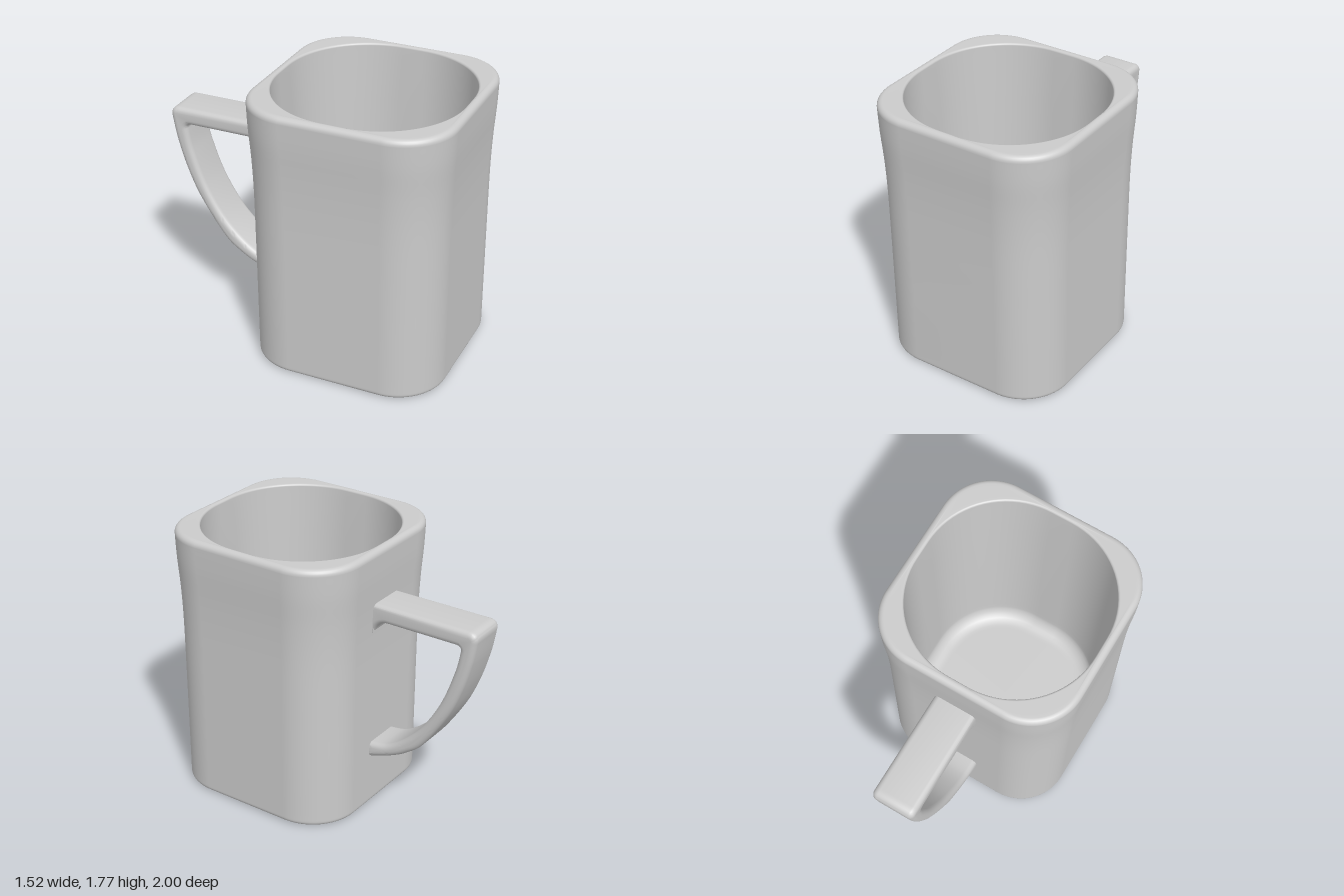
import * as THREE from 'three';
import { toCreasedNormals } from 'three/addons/utils/BufferGeometryUtils.js';

const material = new THREE.MeshStandardMaterial({ color: 0xcccccc, side: THREE.DoubleSide });

// Outline of a rounded square with half side w and corner radius r
function roundedSquare(w, r, steps = 20) {
  const points = [];
  for (let corner = 0; corner < 4; corner++) {
    const mid = (corner + 0.5) * Math.PI / 2;
    const cx = Math.sign(Math.cos(mid)) * (w - r), cz = Math.sign(Math.sin(mid)) * (w - r);
    for (let i = 0; i <= steps; i++) {
      const a = (corner + i / steps) * Math.PI / 2;
      points.push([cx + r * Math.cos(a), cz + r * Math.sin(a)]);
    }
  }
  return points;
}

// Skin through rows of [half side, corner radius, height]
function loft(rows) {
  const position = [], index = [];
  let n = 0;
  rows.forEach(([w, r, y], i) => {
    const ring = roundedSquare(w, r);
    n = ring.length;
    ring.forEach(([x, z], j) => {
      position.push(x, y, z);
      if (i === rows.length - 1) return;
      const a = i * n + j, b = i * n + (j + 1) % n;
      index.push(a, a + n, b, b, a + n, b + n);
    });
  });
  const geometry = new THREE.BufferGeometry();
  geometry.setAttribute('position', new THREE.Float32BufferAttribute(position, 3));
  geometry.setIndex(index);
  geometry.computeVertexNormals();
  return geometry;
}

function createBody() {
  const rows = [[0, 0, 0], [0.57, 0.27, 0], [0.585, 0.28, 0]];
  const fillet = (w, r, y, radius, from, to) => {
    for (let i = 0; i <= 6; i++) {
      const a = THREE.MathUtils.lerp(from, to, i / 6);
      const dw = radius * Math.cos(a);
      rows.push([w + dw, r + dw, y + radius * Math.sin(a)]);
    }
  };
  const H = Math.PI / 2;
  // Base edge, then the wall with its flared top
  fillet(0.592, 0.29, 0.03, 0.03, -H, 0);
  const wall = new THREE.SplineCurve([
    [0.622, 0.04], [0.623, 0.4], [0.624, 0.8], [0.626, 1.15], [0.633, 1.38], [0.645, 1.58], [0.65, 1.73],
  ].map(([w, y]) => new THREE.Vector2(w, y)));
  wall.getPoints(36).forEach(p => rows.push([p.x, 0.32 + (p.x - 0.622) * 0.45, p.y]));
  // Rounded rim and the rounder mouth
  fillet(0.615, 0.297, 1.735, 0.035, 0, H);
  rows.push([0.612, 0.34, 1.77], [0.608, 0.49, 1.769]);
  fillet(0.61, 0.545, 1.755, 0.014, H, Math.PI);
  // Inner wall, rounded floor edge and floor
  rows.push([0.594, 0.525, 1.7], [0.585, 0.51, 1.4], [0.575, 0.5, 0.8], [0.568, 0.49, 0.25]);
  fillet(0.468, 0.39, 0.2, 0.1, 0, -H);
  rows.push([0.45, 0.375, 0.1], [0, 0, 0.1]);
  const body = new THREE.Mesh(loft(rows), material);
  body.name = 'cupBody';
  return body;
}

function createHandle() {
  const v = (x, y) => new THREE.Vector2(x, y);
  const shape = new THREE.Shape();
  // Outer edge: flat top, sharp shoulder, curved grip sweeping to the wall
  shape.moveTo(0.6, 1.42);
  shape.lineTo(1.28, 1.42);
  shape.quadraticCurveTo(1.345, 1.42, 1.34, 1.36);
  shape.splineThru([v(1.31, 1.2), v(1.25, 1.0), v(1.16, 0.8), v(1.0, 0.56), v(0.89, 0.465), v(0.77, 0.4), v(0.6, 0.34)]);
  // Inner edge back up to the top bar
  shape.lineTo(0.6, 0.45);
  shape.splineThru([v(0.74, 0.475), v(0.87, 0.56), v(1.0, 0.7), v(1.117, 0.9), v(1.2, 1.13), v(1.232, 1.28)]);
  shape.quadraticCurveTo(1.235, 1.31, 1.2, 1.31);
  shape.lineTo(0.72, 1.31);
  shape.quadraticCurveTo(0.64, 1.3, 0.615, 1.2);
  shape.lineTo(0.6, 1.2);
  const width = 0.28, bevel = 0.035;
  const geometry = new THREE.ExtrudeGeometry(shape, {
    depth: width - 2 * bevel, curveSegments: 10, bevelEnabled: true,
    bevelThickness: bevel, bevelSize: bevel, bevelOffset: -bevel, bevelSegments: 5,
  });
  geometry.translate(0, 0, bevel - width / 2);
  geometry.rotateY(Math.PI / 2);
  const handle = new THREE.Mesh(toCreasedNormals(geometry, 0.8), material);
  handle.name = 'handle';
  return handle;
}

export function createModel() {
  const mug = new THREE.Group();
  mug.name = 'mug';
  mug.add(createBody(), createHandle());
  mug.rotation.y = THREE.MathUtils.degToRad(27.3);
  mug.position.z = 0.233;
  const model = new THREE.Group();
  model.add(mug);
  return model;
}
